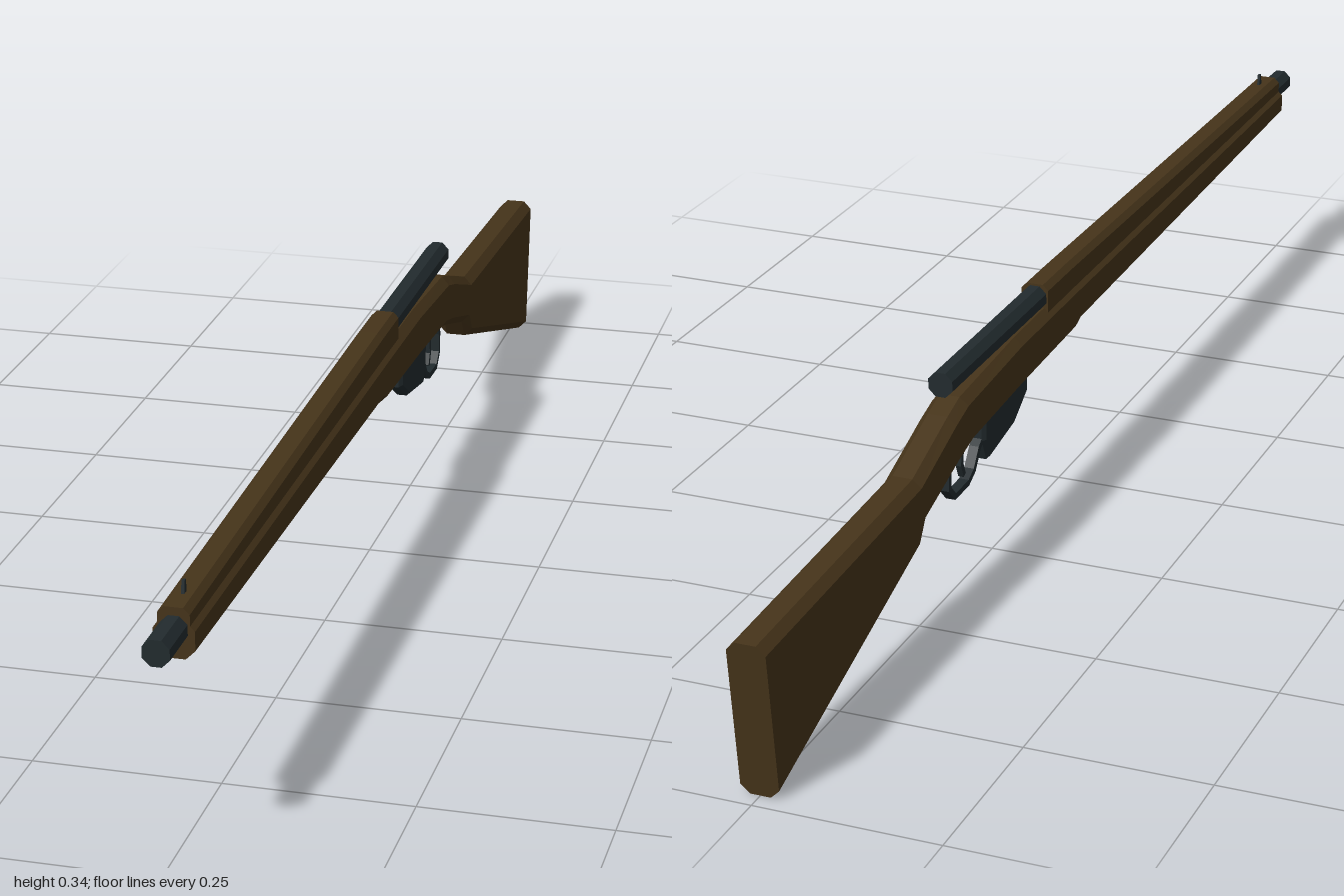
import * as THREE from 'three';

const wood = new THREE.MeshStandardMaterial({ color: 0x46341a, flatShading: true });
const metal = new THREE.MeshStandardMaterial({ color: 0x222b2e, flatShading: true });

function addMesh(group, name, geometry, material) {
  const mesh = new THREE.Mesh(geometry, material);
  mesh.name = name;
  group.add(mesh);
  return mesh;
}

// Chamfered octagonal sections, front to back: [top z, top y, bottom z, bottom y]
function loft(sections, halfWidth, chamfer) {
  const rings = sections.map(([zt, yt, zb, yb]) => {
    const c = Math.min(chamfer / (yt - yb), 0.45), w = halfWidth, n = halfWidth - chamfer;
    return [[n, 0], [w, c], [w, 1 - c], [n, 1], [-n, 1], [-w, 1 - c], [-w, c], [-n, 0]]
      .map(([x, t]) => [x, yb + (yt - yb) * t, zb + (zt - zb) * t]);
  });
  const out = [];
  for (let s = 0; s < rings.length - 1; s++) {
    const a = rings[s], b = rings[s + 1];
    for (let i = 0; i < 8; i++) {
      const j = (i + 1) % 8;
      out.push(a[i], b[i], b[j], a[i], b[j], a[j]);
    }
  }
  const first = rings[0], last = rings[rings.length - 1];
  for (let i = 1; i < 7; i++) {
    out.push(first[0], first[i], first[i + 1]);
    out.push(last[0], last[i + 1], last[i]);
  }
  const g = new THREE.BufferGeometry();
  g.setAttribute('position', new THREE.Float32BufferAttribute(out.flat(), 3));
  g.computeVertexNormals();
  return g;
}

// Side outline of [z, y] points, extruded across x
function sidePlate(points, width, bevel = 0) {
  const shape = new THREE.Shape(points.map(([z, y]) => new THREE.Vector2(z, y)));
  const depth = width - 2 * bevel;
  const g = new THREE.ExtrudeGeometry(shape, {
    depth, bevelEnabled: bevel > 0, bevelSize: bevel, bevelThickness: bevel,
    bevelOffset: -bevel, bevelSegments: 1,
  });
  g.translate(0, 0, -depth / 2);
  return g.rotateY(-Math.PI / 2);
}

// Bent strip following a side path
function strip(path, thickness, width) {
  const offset = (side) => path.map(([z, y], i) => {
    const p = path[Math.max(i - 1, 0)], q = path[Math.min(i + 1, path.length - 1)];
    const dz = q[0] - p[0], dy = q[1] - p[1], l = Math.hypot(dz, dy);
    return [z - side * dy / l * thickness / 2, y + side * dz / l * thickness / 2];
  });
  return sidePlate([...offset(1), ...offset(-1).reverse()], width);
}

// Eight-sided bar along z
function bar(radius, front, back, y) {
  const g = new THREE.CylinderGeometry(radius, radius, front - back, 8);
  g.rotateY(Math.PI / 8).rotateX(Math.PI / 2);
  return g.translate(0, y, (front + back) / 2);
}

export function createModel() {
  const model = new THREE.Group();
  model.name = 'rifle';

  // Stock: fore-end, grip and butt
  addMesh(model, 'stock', loft([
    [0.93, 0.305, 0.93, 0.256],
    [0.02, 0.302, 0.02, 0.236],
    [0.0, 0.302, 0.0, 0.229],
    [-0.2, 0.3, -0.2, 0.222],
    [-0.39, 0.288, -0.37, 0.212],
    [-0.43, 0.276, -0.42, 0.2],
    [-0.545, 0.236, -0.53, 0.166],
    [-0.56, 0.235, -0.55, 0.137],
    [-1.0, 0.217, -0.975, 0.0],
  ], 0.026, 0.012), wood);

  // Upper wooden cover over the barrel
  addMesh(model, 'handguard', loft([
    [0.93, 0.322, 0.93, 0.28],
    [0.0, 0.335, 0.0, 0.28],
    [-0.09, 0.335, -0.09, 0.28],
  ], 0.02, 0.008), wood);

  // Metal barrel and receiver
  addMesh(model, 'barrel', bar(0.0185, 1.0, 0.88, 0.294), metal);
  addMesh(model, 'receiver', bar(0.0185, -0.05, -0.42, 0.315), metal);

  // Front sight
  addMesh(model, 'frontSight', sidePlate(
    [[0.894, 0.315], [0.882, 0.315], [0.885, 0.339], [0.89, 0.339]], 0.004), metal);

  // Magazine
  addMesh(model, 'magazine', sidePlate([
    [-0.145, 0.235], [-0.145, 0.198], [-0.195, 0.167],
    [-0.285, 0.152], [-0.3, 0.185], [-0.3, 0.235],
  ], 0.024, 0.005), metal);

  // Trigger guard and trigger
  addMesh(model, 'triggerGuard', strip([
    [-0.29, 0.19], [-0.307, 0.178], [-0.325, 0.153], [-0.345, 0.143],
    [-0.39, 0.142], [-0.408, 0.16], [-0.408, 0.19], [-0.4, 0.215],
  ], 0.009, 0.014), metal);
  addMesh(model, 'trigger', strip([
    [-0.35, 0.22], [-0.358, 0.195], [-0.36, 0.175], [-0.352, 0.157],
  ], 0.008, 0.008), metal);

  return model;
}
